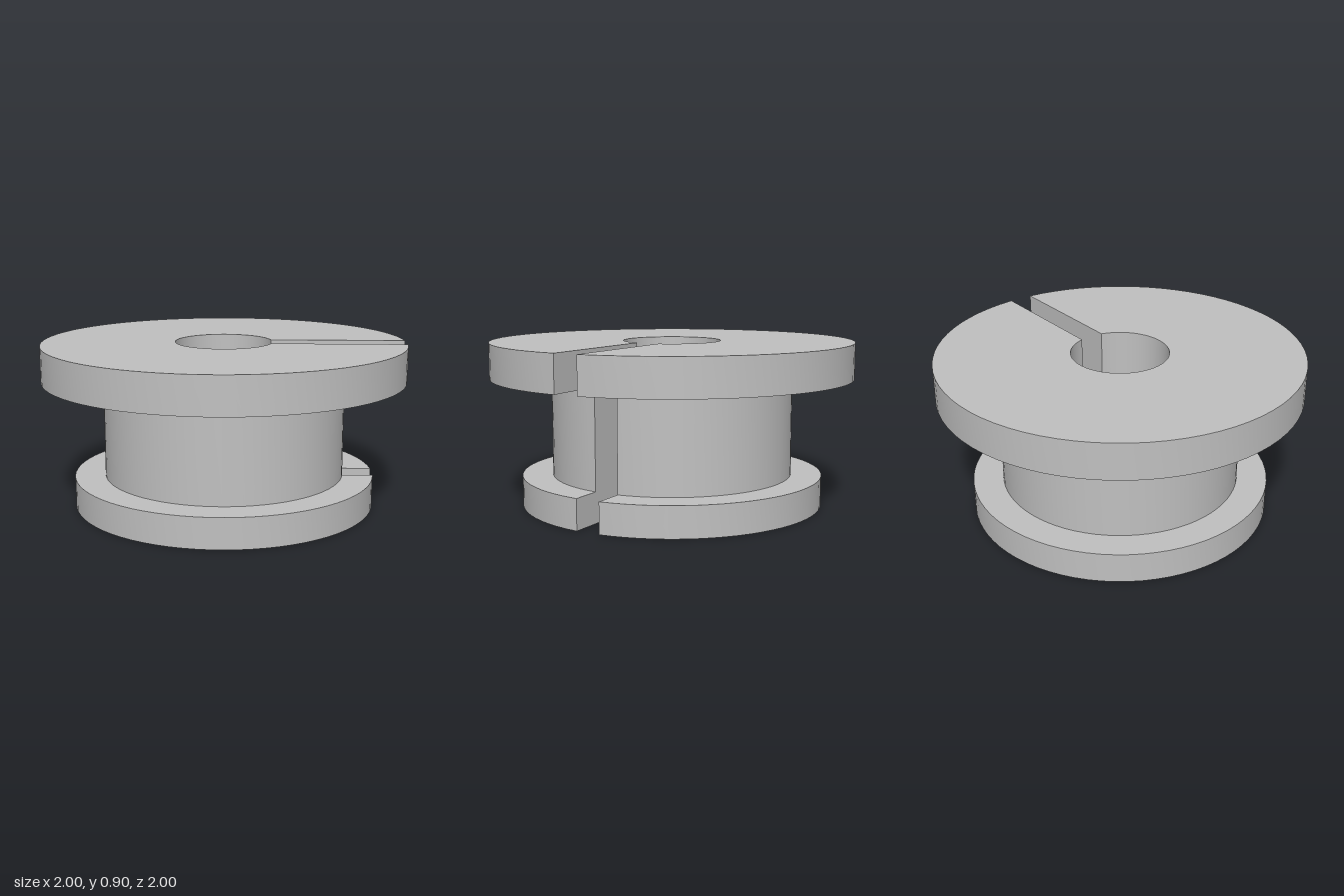
import * as THREE from 'three';

const SLOT = 0.067;      // half width of the slot on the +x side
const SEGMENTS = 72;

// Spool cross-section as a closed counter-clockwise loop of (radius, height);
// each name belongs to the face running to the next point.
const PROFILE = [
  ['lowerFlangeBottom', 0.267, 0],
  ['lowerFlangeRim', 0.833, 0],
  ['lowerFlangeTop', 0.833, 0.167],
  ['hub', 0.665, 0.167],
  ['upperFlangeBottom', 0.665, 0.705],
  ['upperFlangeRim', 1, 0.705],
  ['upperFlangeTop', 1, 0.903],
  ['bore', 0.267, 0.903],
];

// One revolved face, with its ends trimmed to the straight edges of the slot
function band(a, b) {
  const ends = [a, b];
  const geo = new THREE.LatheGeometry(ends.map(([, r, y]) => new THREE.Vector2(r, y)), SEGMENTS);
  const pos = geo.attributes.position;
  for (let k = 0; k < pos.count; k++) {
    const [, r, y] = ends[k % 2];
    const t = Math.floor(k / 2) / SEGMENTS;
    const gap = Math.asin(SLOT / r);
    const phi = Math.PI / 2 + gap + t * 2 * (Math.PI - gap);
    pos.setXYZ(k, r * Math.sin(phi), y, r * Math.cos(phi));
  }
  geo.computeVertexNormals();
  return geo;
}

// Flat slot wall: side -1 faces +z, side +1 faces -z
function slotWall(side) {
  const shape = new THREE.Shape(PROFILE.map(([, r, y]) =>
    new THREE.Vector2(-side * Math.sqrt(r * r - SLOT * SLOT), y)));
  const geo = new THREE.ShapeGeometry(shape);
  if (side > 0) geo.rotateY(Math.PI);
  return geo.translate(0, 0, side * SLOT);
}

export function createModel() {
  const spool = new THREE.Group();
  spool.name = 'slottedSpool';
  const grey = new THREE.MeshStandardMaterial({ color: 0xc0c0c0 });
  grey.name = 'grey';

  const add = (name, geo) => {
    const mesh = new THREE.Mesh(geo, grey);
    mesh.name = name;
    spool.add(mesh);
  };

  // Flanges, hub and bore
  PROFILE.forEach((p, i) => add(p[0], band(p, PROFILE[(i + 1) % PROFILE.length])));

  // Both walls of the slot
  add('slotWallFront', slotWall(1));
  add('slotWallBack', slotWall(-1));
  return spool;
}
